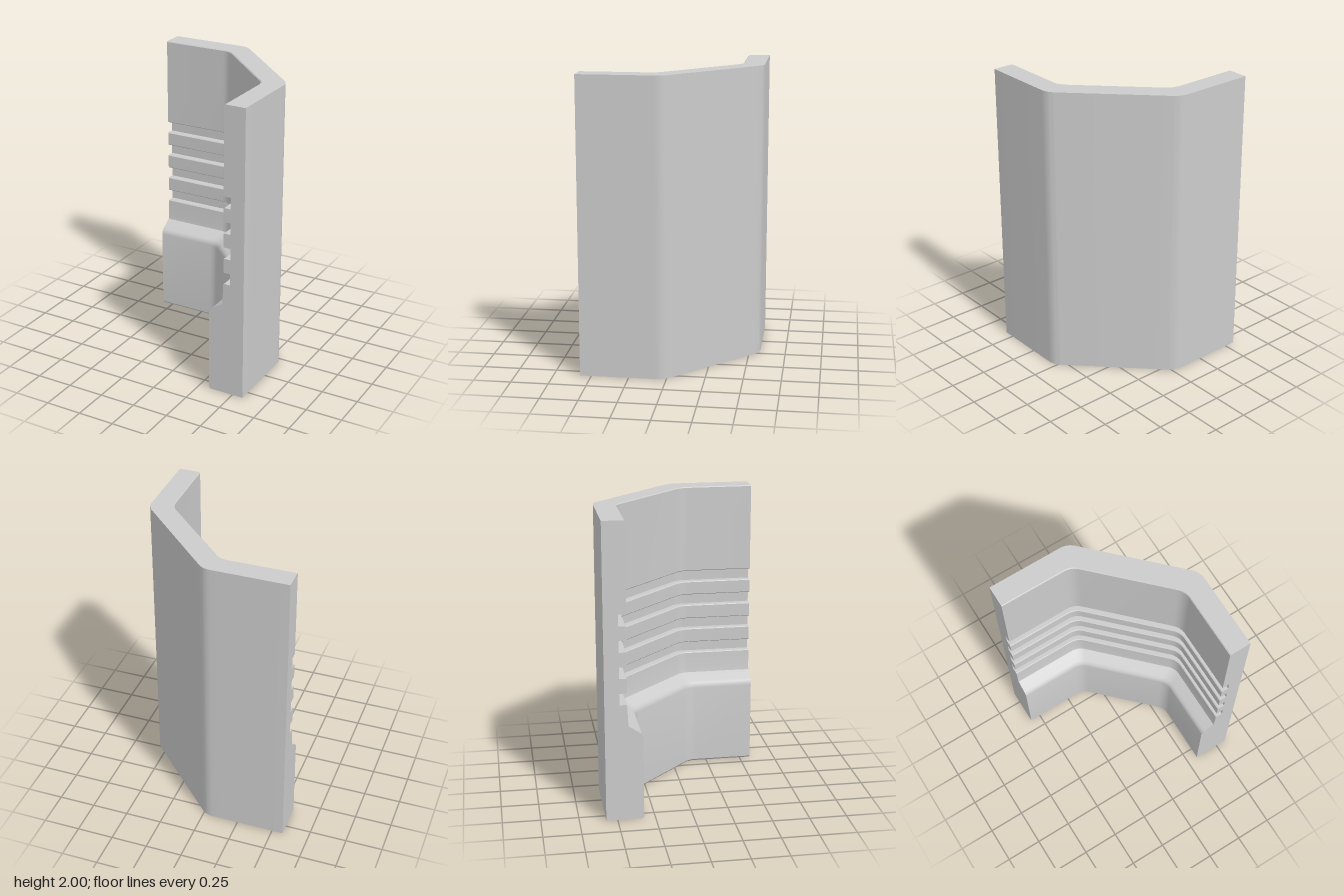
import * as THREE from 'three';
import { toCreasedNormals } from 'three/addons/utils/BufferGeometryUtils.js';

const HALF = 0.575, RADIUS = 0.12, STEPS = 6;

// Plan outline at inward offset d: back wall, diagonal wall, side wall, with rounded bends
function planPath(d) {
  const z = -HALF + d;
  const bendX = -0.02 - d * (Math.SQRT2 - 1);
  const cx = bendX - RADIUS * Math.tan(Math.PI / 8), cz = z + RADIUS;
  const half = [[-HALF, z]];
  for (let i = 0; i <= STEPS; i++) {
    const a = -Math.PI / 2 + (Math.PI / 4) * (i / STEPS);
    half.push([cx + RADIUS * Math.cos(a), cz + RADIUS * Math.sin(a)]);
  }
  // the second bend mirrors the first across the diagonal
  return [...half, ...half.map(([x, zz]) => [-zz, -x]).reverse()];
}

// Inner face profile as [thickness, height], from the bottom up
function innerProfile() {
  const t = 0.147, groove = 0.097, b = 0.005;
  const p = [[0.24, 0], [0.25, 0.012], [0.25, 0.565], [0.247, 0.582], [0.238, 0.597], [0.225, 0.607], [0.156, 0.652], [0.152, 0.68]];
  for (const y of [0.8, 0.977, 1.152, 1.325]) {
    p.push([t, y - b], [t - b, y], [groove, y], [groove, y + 0.078], [t - b, y + 0.078], [t, y + 0.078 + b]);
  }
  p.push([t, 1.994], [t - 0.006, 2]);
  return p;
}

// Sweep the wall section along the bent plan
function wallGeometry() {
  const profile = innerProfile();
  const row = (d, y) => planPath(d).map(([x, z]) => [x, y, z]);
  const inner = profile.map(([d, y]) => row(d, y));
  const outer = profile.map(([, y]) => row(0, y));
  const pos = [];
  const quad = (a, b, c, d) => pos.push(...a, ...b, ...c, ...a, ...c, ...d);
  const top = profile.length - 1, end = inner[0].length - 1;

  for (let i = 0; i < top; i++) {
    const k = i + 1;
    const level = profile[i][1] === profile[k][1];
    for (let j = 0; j < end; j++) {
      quad(inner[i][j], inner[i][j + 1], inner[k][j + 1], inner[k][j]);
      if (!level) quad(outer[i][j + 1], outer[i][j], outer[k][j], outer[k][j + 1]);
    }
    // end faces
    if (!level) {
      quad(outer[i][0], inner[i][0], inner[k][0], outer[k][0]);
      quad(inner[i][end], outer[i][end], outer[k][end], inner[k][end]);
    }
  }
  // top and bottom faces
  for (let j = 0; j < end; j++) {
    quad(inner[top][j], inner[top][j + 1], outer[top][j + 1], outer[top][j]);
    quad(outer[0][j], outer[0][j + 1], inner[0][j + 1], inner[0][j]);
  }
  const g = new THREE.BufferGeometry();
  g.setAttribute('position', new THREE.Float32BufferAttribute(pos, 3));
  return toCreasedNormals(g, 0.5);
}

export function createModel() {
  const group = new THREE.Group();
  group.name = 'groovedCornerWall';
  const wall = new THREE.Mesh(wallGeometry(), new THREE.MeshStandardMaterial({ color: 0xcccccc }));
  wall.name = 'cornerWall';
  group.add(wall);
  return group;
}
